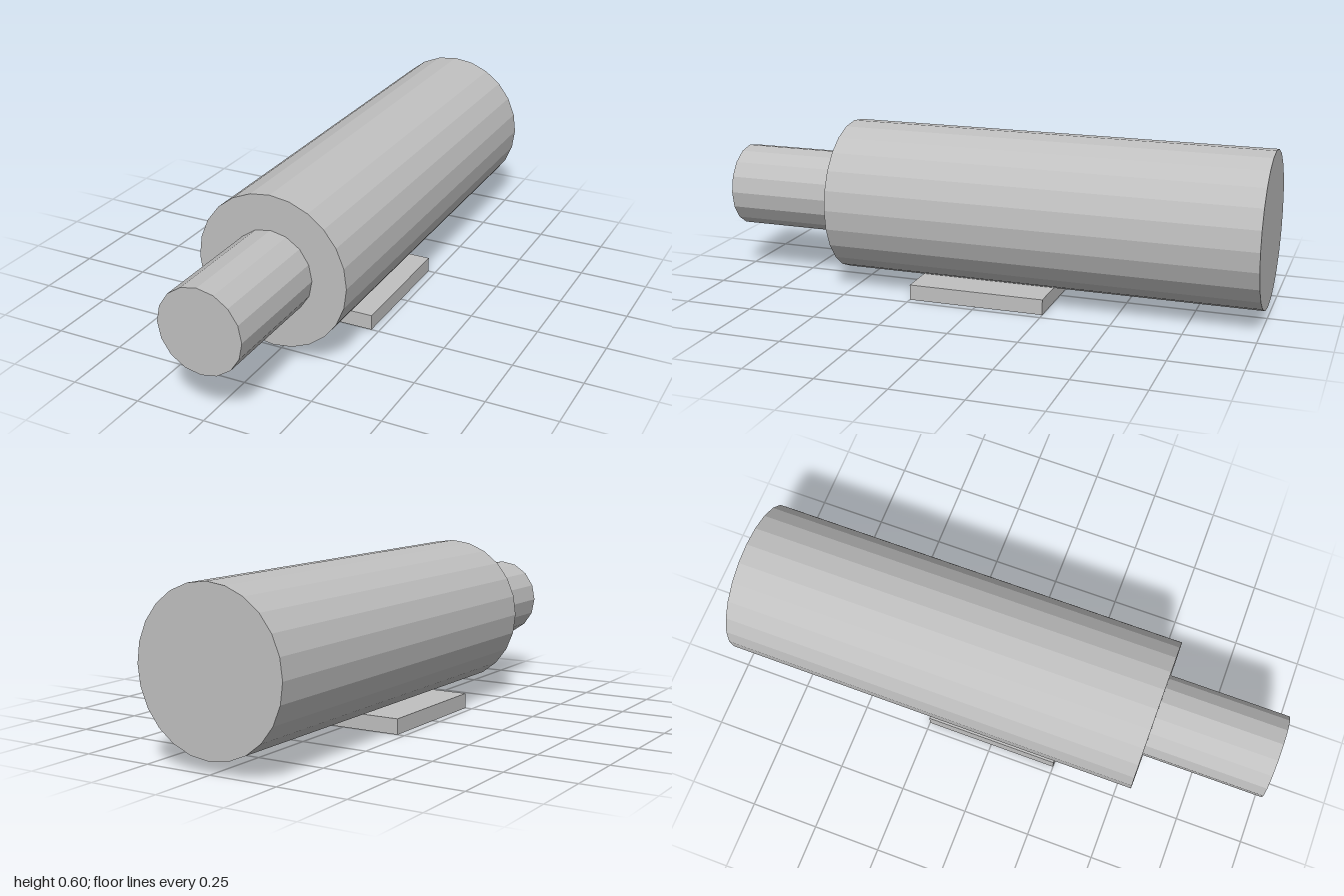
import * as THREE from 'three';

export function createModel() {
  const group = new THREE.Group();
  const grey = new THREE.MeshStandardMaterial({ color: 0xc0c0c0 });
  grey.name = 'plain grey';
  grey.flatShading = true;

  const axisY = 0.32; // shared height of both cylinders
  const stepZ = 0.555; // where the wide body meets the narrow neck

  // Faceted cylinder lying along z between two depths
  function lyingCylinder(name, radius, sides, zBack, zFront) {
    const geometry = new THREE.CylinderGeometry(radius, radius, zFront - zBack, sides);
    geometry.rotateX(Math.PI / 2);
    const mesh = new THREE.Mesh(geometry, grey);
    mesh.name = name;
    mesh.position.set(0, axisY, (zBack + zFront) / 2);
    group.add(mesh);
  }

  lyingCylinder('body', 0.278, 24, -1, stepZ);
  lyingCylinder('neck', 0.152, 16, stepZ, 1);

  // Flat mounting plate under the body
  const plate = new THREE.Mesh(new THREE.BoxGeometry(0.445, 0.056, 0.5), grey);
  plate.name = 'mountingPlate';
  plate.position.y = 0.028;
  group.add(plate);

  return group;
}
